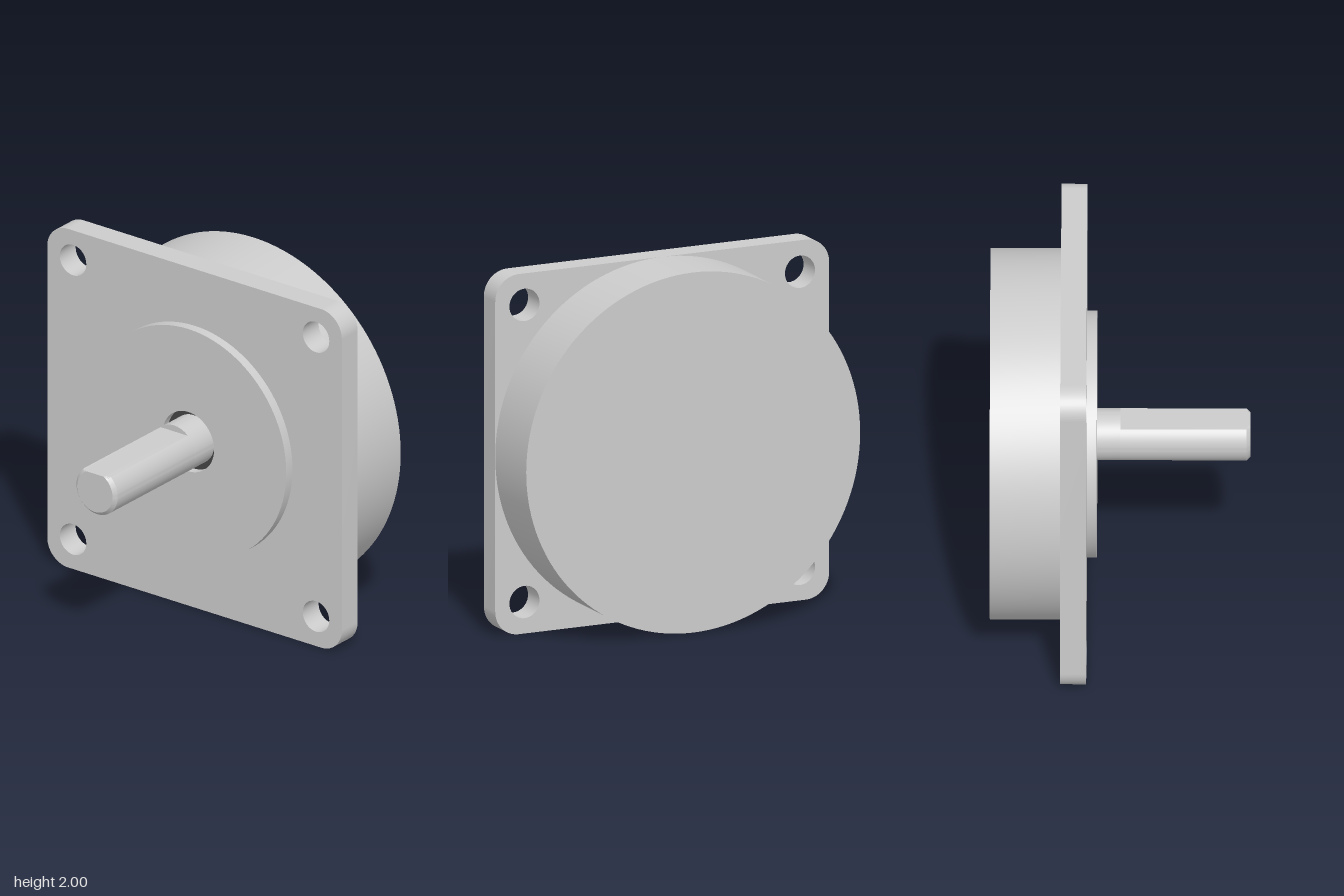
import * as THREE from 'three';
import { toCreasedNormals } from 'three/addons/utils/BufferGeometryUtils.js';

const grey = new THREE.MeshStandardMaterial({ color: 0xcccccc });
const dark = new THREE.MeshStandardMaterial({ color: 0x444444 });

// Turned part around the z axis from [radius, z] pairs, ordered back to front
function turned(profile, segments = 96) {
  const points = profile.map(([r, z]) => new THREE.Vector2(r, z));
  return new THREE.LatheGeometry(points, segments).rotateX(Math.PI / 2);
}

export function createModel() {
  const group = new THREE.Group();
  const add = (name, geometry, material = grey) => {
    const mesh = new THREE.Mesh(toCreasedNormals(geometry, 0.5), material);
    mesh.name = name;
    mesh.position.y = 1;
    group.add(mesh);
  };

  // Round motor can behind the plate
  add('body', turned([[0, -0.7], [1, -0.7], [1, -0.32], [0, -0.32]], 128));

  // Square mounting plate with rounded corners and four screw holes
  const r = 0.14;
  const plate = new THREE.Shape();
  [[1, 1], [-1, 1], [-1, -1], [1, -1]].forEach(([sx, sy], i) => {
    const start = i * Math.PI / 2;
    plate.absarc(sx * (1 - r), sy * (1 - r), r, start, start + Math.PI / 2, false);
    const hole = new THREE.Path();
    hole.absarc(sx * 0.825, sy * 0.825, 0.09, 0, Math.PI * 2, true);
    plate.holes.push(hole);
  });
  plate.closePath();
  add('mountingPlate', new THREE.ExtrudeGeometry(plate, {
    depth: 0.14, bevelEnabled: false, curveSegments: 20,
  }).translate(0, 0, -0.32));

  // Raised pilot disc with a central bore
  add('pilotBoss', turned([[0.665, -0.18], [0.665, -0.125], [0.175, -0.125], [0.175, -0.18]]));

  // Dark bearing ring at the bottom of the bore
  add('bearing', new THREE.RingGeometry(0.13, 0.176, 96).translate(0, 0, -0.172), dark);

  // Full-round shaft root
  add('shaftRoot', turned([[0.14, -0.18], [0.14, 0], [0, 0]]));

  // D-shaped shaft: chamfered tip, top flattened by limiting the height
  const shaft = turned([[0.14, 0], [0.14, 0.68], [0.12, 0.7], [0, 0.7]]);
  const pos = shaft.attributes.position;
  for (let i = 0; i < pos.count; i++) pos.setY(i, Math.min(pos.getY(i), 0.105));
  add('shaft', shaft);

  return group;
}
